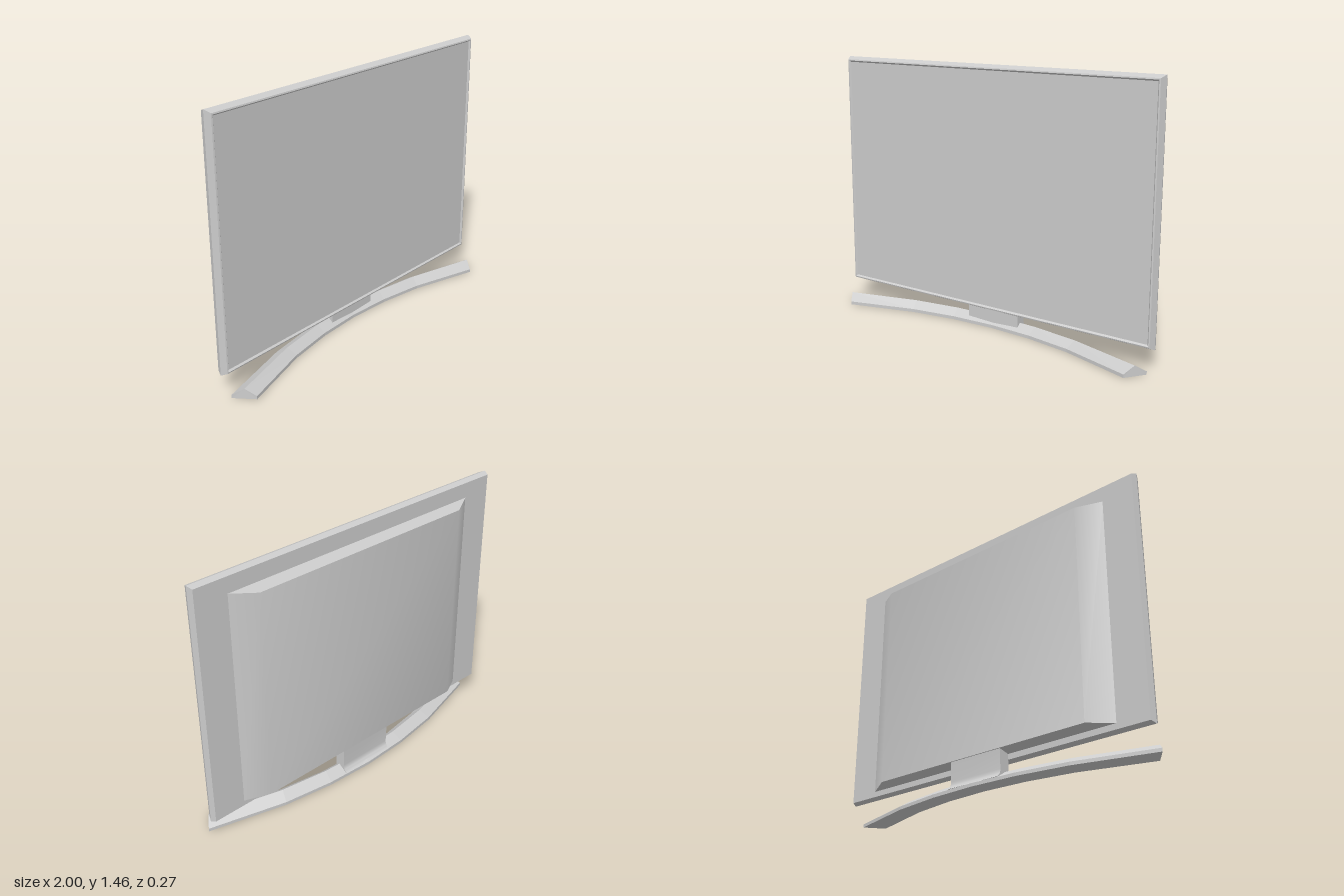
import * as THREE from 'three';
import { toCreasedNormals } from 'three/addons/utils/BufferGeometryUtils.js';

// Joins equal-length rings of [x, y, z] points into a capped solid with flat faces.
function loft(rings) {
  const pos = [];
  const tri = (a, b, c) => pos.push(...a, ...b, ...c);
  const n = rings[0].length;
  for (let r = 0; r < rings.length - 1; r++) {
    const a = rings[r], b = rings[r + 1];
    for (let i = 0; i < n; i++) {
      const j = (i + 1) % n;
      tri(a[i], a[j], b[j]);
      tri(a[i], b[j], b[i]);
    }
  }
  const first = rings[0], last = rings[rings.length - 1];
  for (let i = 1; i < n - 1; i++) {
    tri(first[0], first[i + 1], first[i]);
    tri(last[0], last[i], last[i + 1]);
  }
  const geo = new THREE.BufferGeometry();
  geo.setAttribute('position', new THREE.Float32BufferAttribute(pos, 3));
  geo.computeVertexNormals();
  return geo;
}

export function createModel() {
  const group = new THREE.Group();
  const material = new THREE.MeshStandardMaterial({ color: 0xcccccc });
  const add = (name, geo) => {
    const mesh = new THREE.Mesh(geo, material);
    mesh.name = name;
    group.add(mesh);
  };

  // Screen panel: bevelled rim, narrow bezel and slightly sunken display
  const rect = (inset, z) => {
    const x = 1 - inset, y0 = 0.113 + inset, y1 = 1.46 - inset;
    return [[-x, y0, z], [x, y0, z], [x, y1, z], [-x, y1, z]];
  };
  add('screenPanel', loft([
    rect(0.012, -0.048), rect(0, -0.018), rect(0.015, 0.015),
    rect(0.022, 0.017), rect(0.03, 0.008),
  ]));

  // Rear housing: tapered slab with softly shaded sides
  const outline = [[-0.81, -0.047, 0], [0.81, -0.047, 0], [0.68, -0.116, 1], [-0.68, -0.116, 1]];
  const housing = loft([
    outline.map(([x, z, t]) => [x, 0.155 + 0.015 * t, z]),
    outline.map(([x, z, t]) => [x, 1.362 - 0.015 * t, z]),
  ]);
  add('rearHousing', toCreasedNormals(housing, Math.PI / 6));

  // Foot: ridged bar that bends forward at both ends
  const section = (t) => {
    const at = (halfLength, y, zMid, sweep) => [halfLength * t, y, zMid + sweep * t * t];
    return [
      at(0.945, 0.056, -0.08, 0.167),
      at(0.91, 0.018, -0.035, 0.172),
      at(0.91, 0, -0.035, 0.172),
      at(0.985, 0, -0.138, 0.173),
      at(0.985, 0.018, -0.138, 0.173),
    ];
  };
  add('curvedFoot', loft([-1, -0.57, -0.28, 0, 0.28, 0.57, 1].map(section)));

  // Neck: side profile (drawn with x = -z) flaring at the back onto the foot
  const profile = new THREE.Shape();
  profile.moveTo(0.047, 0.02);
  profile.lineTo(0.133, 0.02);
  profile.quadraticCurveTo(0.107, 0.035, 0.107, 0.065);
  profile.lineTo(0.112, 0.18);
  profile.lineTo(0.047, 0.18);
  const neck = new THREE.ExtrudeGeometry(profile, { depth: 0.33, bevelEnabled: false, curveSegments: 6 });
  neck.translate(0, 0, -0.165).rotateY(Math.PI / 2);
  add('neck', toCreasedNormals(neck, Math.PI / 5));

  return group;
}
